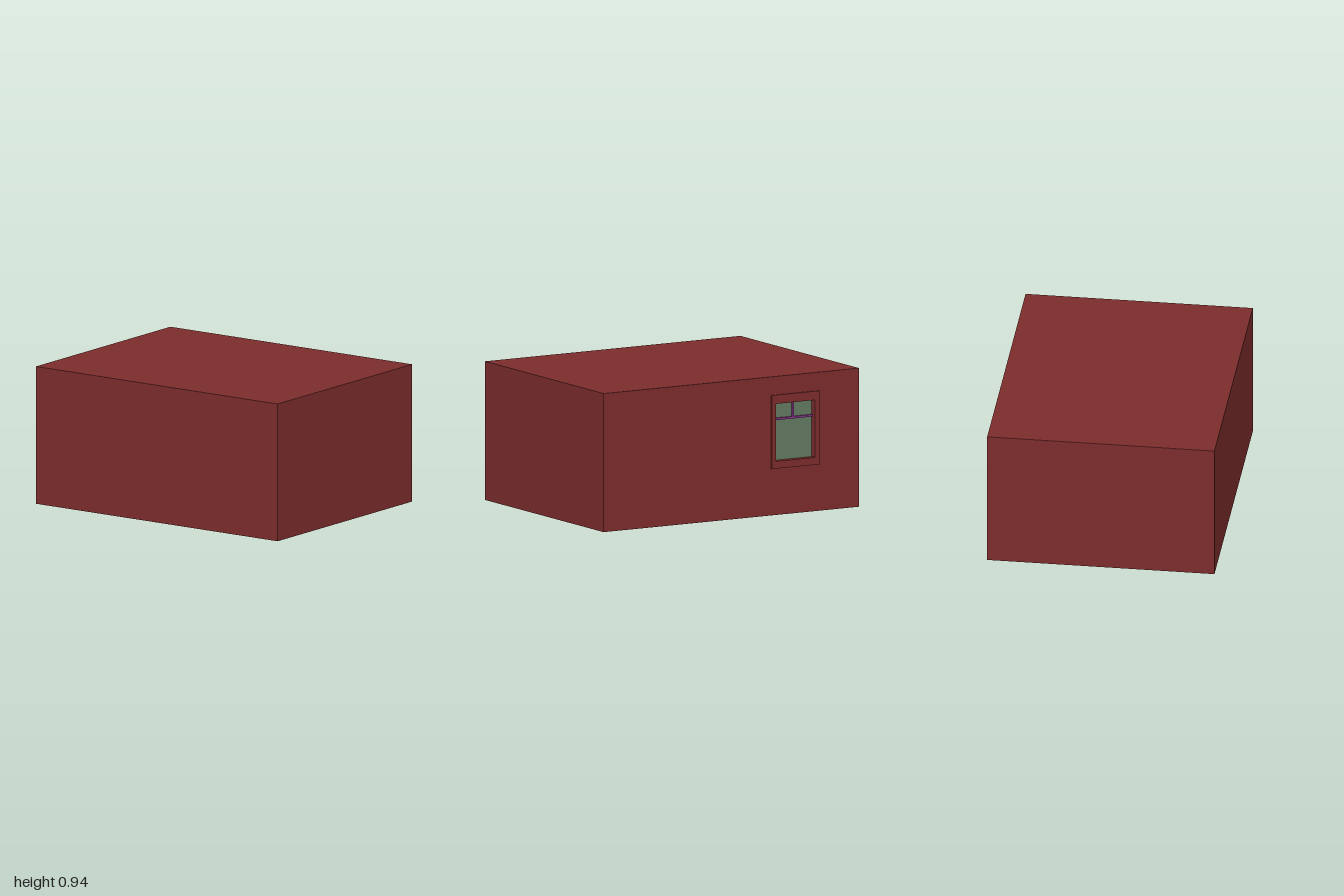
import * as THREE from 'three';

const wallMat = new THREE.MeshStandardMaterial({ color: 0x7c2c2c });
const glassMat = new THREE.MeshStandardMaterial({ color: 0x627a60 });
const barMat = new THREE.MeshStandardMaterial({ color: 0x803080 });

// Outer limits of the room and thickness of its walls
const X0 = -0.775, X1 = 0.76, H = 0.945, T = 0.06, LIFT = 0.004;

// Box given by its minimum and maximum corners
function box(name, min, max, mat = wallMat) {
  const size = max.map((v, i) => v - min[i]);
  const mesh = new THREE.Mesh(new THREE.BoxGeometry(...size), mat);
  mesh.position.set(...max.map((v, i) => (v + min[i]) / 2));
  mesh.name = name;
  return mesh;
}

function rectangle(PathType, u0, u1, y0, y1) {
  return new PathType([[u0, y0], [u1, y0], [u1, y1], [u0, y1]].map(p => new THREE.Vector2(...p)));
}

// Plate facing +x with a rectangular opening; u runs toward the back (-z)
function piercedPlate(name, outer, hole, x0, x1) {
  const shape = rectangle(THREE.Shape, ...outer);
  shape.holes.push(rectangle(THREE.Path, ...hole));
  const geo = new THREE.ExtrudeGeometry(shape, { depth: x1 - x0, bevelEnabled: false });
  geo.rotateY(Math.PI / 2);
  const mesh = new THREE.Mesh(geo, wallMat);
  mesh.position.x = x0;
  mesh.name = name;
  return mesh;
}

function createWindow() {
  const win = new THREE.Group();
  win.name = 'window';
  // Casing around the opening, standing slightly proud of the wall
  win.add(piercedPlate('windowCasing', [0.31, 0.685, 0.32, 0.82], [0.345, 0.65, 0.37, 0.76], X1 - T, 0.77));
  // Recessed pane and its glazing bars
  win.add(box('glassPane', [0.715, 0.37, -0.65], [0.725, 0.76, -0.345], glassMat));
  win.add(box('crossBar', [0.71, 0.643, -0.65], [0.737, 0.658, -0.345], barMat));
  win.add(box('uprightBar', [0.71, 0.658, -0.504], [0.737, 0.76, -0.49], barMat));
  return win;
}

export function createModel() {
  const room = new THREE.Group();
  room.name = 'room';

  // Floor set between the walls, and a roof over everything
  room.add(box('floor', [X0 + T, 0, -1 + T], [X1 - T, T, 1 - T]));
  room.add(box('roof', [X0, H - T, -1], [X1, H, 1]));

  // Front, back and plain side walls
  const top = H - T;
  room.add(box('frontWall', [X0, LIFT, 1 - T], [X1, top, 1]));
  room.add(box('backWall', [X0, LIFT, -1], [X1, top, -1 + T]));
  room.add(box('rightWall', [X0, LIFT, -1 + T], [X0 + T, top, 1 - T]));

  // Wall with the window opening
  room.add(piercedPlate('leftWall', [-1 + T, 1 - T, LIFT, top], [0.31, 0.685, 0.32, 0.82], X1 - T, X1));
  room.add(createWindow());
  return room;
}
